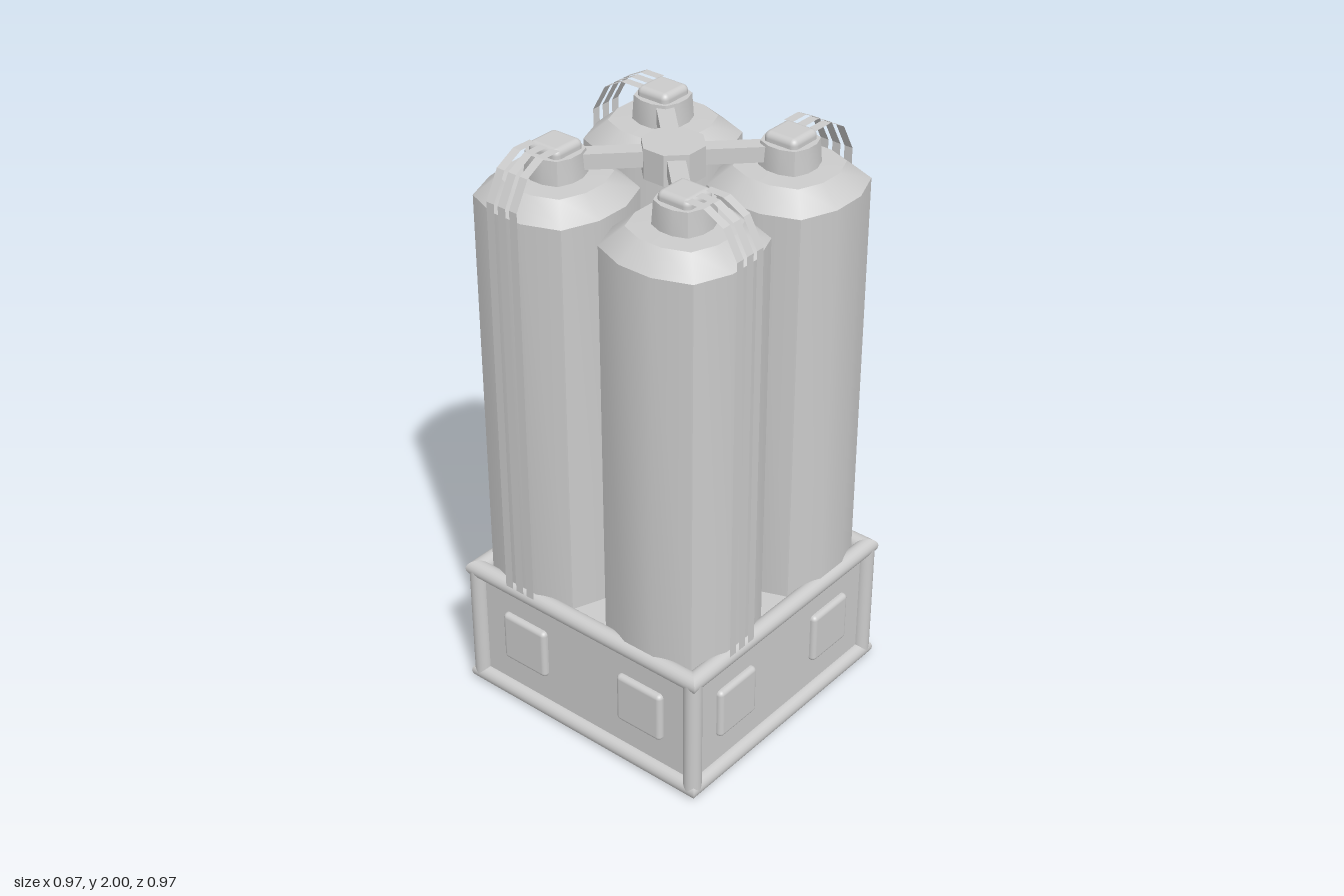
import * as THREE from 'three';
import { toCreasedNormals } from 'three/addons/utils/BufferGeometryUtils.js';
import { RoundedBoxGeometry } from 'three/addons/geometries/RoundedBoxGeometry.js';

const grey = new THREE.MeshStandardMaterial({ color: 0xcccccc });
const thin = new THREE.MeshStandardMaterial({ color: 0xcccccc, side: THREE.DoubleSide });

function add(parent, name, geometry, x = 0, y = 0, z = 0, material = grey) {
  const mesh = new THREE.Mesh(geometry, material);
  mesh.name = name;
  mesh.position.set(x, y, z);
  parent.add(mesh);
  return mesh;
}

// Twelve-sided body with squarish corners, neck included
function tankGeometry() {
  const profile = [
    [0.22, 0.44], [0.22, 1.83], [0.152, 1.89], [0.085, 1.892], [0.08, 1.97], [0, 1.97],
  ].map(([r, y]) => new THREE.Vector2(r, y));
  const g = new THREE.LatheGeometry(profile, 12, Math.PI / 12);
  const p = g.attributes.position;
  for (let i = 0; i < p.count; i++) {
    const corner = Math.floor(i / profile.length) % 3 === 1;
    const k = corner ? 1.125 : 1 / Math.cos(Math.PI / 12);
    p.setX(i, p.getX(i) * k);
    p.setZ(i, p.getZ(i) * k);
  }
  return toCreasedNormals(g, 0.6);
}

// Flat strap running from the cap over the shoulder and down to the base
function strapGeometry(width) {
  const path = [[0.29, 1.997], [0.36, 1.997], [0.43, 1.96], [0.48, 1.87], [0.48, 0.46]];
  const g = new THREE.PlaneGeometry(width, 1, 1, path.length - 1);
  const p = g.attributes.position;
  for (let i = 0; i < p.count; i++) {
    const [z, y] = path[Math.floor(i / 2)];
    p.setY(i, y);
    p.setZ(i, z);
  }
  return toCreasedNormals(g, 0.4);
}

// Round bar along x with ends mitred at 45 degrees; outward is +z
function mitredBar(radius, half) {
  const g = new THREE.CylinderGeometry(radius, radius, half * 2, 20, 1, true);
  g.rotateZ(Math.PI / 2);
  const p = g.attributes.position;
  for (let i = 0; i < p.count; i++) {
    p.setX(i, p.getX(i) + Math.sign(p.getX(i)) * p.getZ(i));
  }
  return g;
}

export function createModel() {
  const model = new THREE.Group();
  const edge = 0.455, bar = 0.03, c = 0.245;

  // Base block
  add(model, 'baseBlock', new THREE.BoxGeometry(0.91, 0.44, 0.91), 0, 0.24, 0);

  const tank = tankGeometry();
  const strap = strapGeometry(0.03);
  const rail = mitredBar(bar, edge);
  const post = new THREE.CylinderGeometry(bar, bar, 0.43, 20);
  const pad = new RoundedBoxGeometry(0.184, 0.184, 0.04, 3, 0.016);
  const cap = new RoundedBoxGeometry(0.12, 0.06, 0.12, 3, 0.02);

  // Each quarter holds one tank, one side of the base and one spoke
  for (let q = 0; q < 4; q++) {
    const quarter = new THREE.Group();
    quarter.name = 'quarter' + (q + 1);
    quarter.rotation.y = q * Math.PI / 2;
    model.add(quarter);

    // Base frame and side pads
    add(quarter, 'topRail', rail, 0, 0.46, edge);
    add(quarter, 'bottomRail', rail, 0, bar, edge);
    add(quarter, 'cornerPost', post, edge, 0.245, edge);
    for (const s of [-1, 1]) add(quarter, 'sidePad', pad, s * c, 0.252, 0.455);

    // Tank, cap and straps
    add(quarter, 'tank', tank, -c, 0, c);
    add(quarter, 'cap', cap, -c, 1.97, c);
    for (let i = -1; i <= 1; i++) {
      add(quarter, 'strap', strap, -c + i * 0.045, 0, 0, thin);
    }

    // Spoke from the hub to the tank neck
    const spoke = add(quarter, 'spoke', new THREE.BoxGeometry(0.055, 0.05, 0.24), -0.135, 1.935, 0.135);
    spoke.rotation.y = -Math.PI / 4;
  }

  // Central hub
  const hub = new THREE.CylinderGeometry(0.1, 0.1, 0.1, 8, 1, false, Math.PI / 8);
  add(model, 'hub', toCreasedNormals(hub, 0.5), 0, 1.927, 0);
  return model;
}
